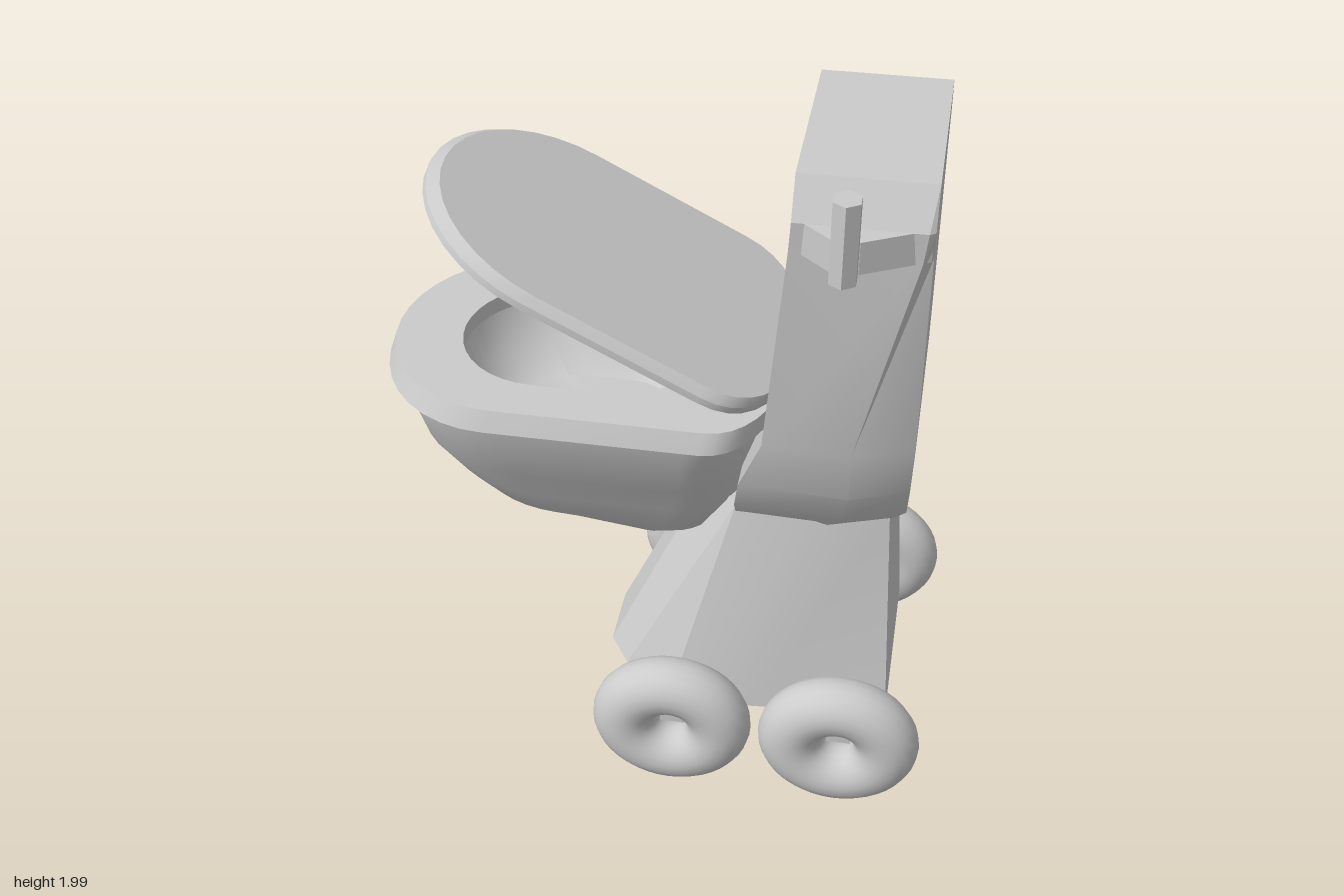
import * as THREE from 'three';
import { toCreasedNormals } from 'three/addons/utils/BufferGeometryUtils.js';

const grey = new THREE.MeshStandardMaterial({ color: 0xcccccc });

function add(group, name, geometry, x = 0, y = 0, z = 0) {
  const mesh = new THREE.Mesh(geometry, grey);
  mesh.name = name;
  mesh.position.set(x, y, z);
  group.add(mesh);
  return mesh;
}

// Skin a stack of closed rings (each a list of [x, y, z]) and cap both ends
function loft(rings, crease) {
  const n = rings[0].length;
  const pos = rings.flat(2);
  const index = [];
  for (let j = 0; j < rings.length - 1; j++) {
    for (let i = 0; i < n; i++) {
      const a = j * n + i, b = j * n + (i + 1) % n;
      index.push(a, a + n, b, b, a + n, b + n);
    }
  }
  [0, rings.length - 1].forEach((j, end) => {
    const centre = pos.length / 3;
    for (let k = 0; k < 3; k++) pos.push(rings[j].reduce((s, p) => s + p[k], 0) / n);
    for (let i = 0; i < n; i++) {
      const a = j * n + i, b = j * n + (i + 1) % n;
      if (end) index.push(centre, b, a);
      else index.push(centre, a, b);
    }
  });
  const g = new THREE.BufferGeometry();
  g.setAttribute('position', new THREE.Float32BufferAttribute(pos, 3));
  g.setIndex(index);
  return toCreasedNormals(g, crease);
}

// Long oval: round end at x0, squarer end at x1, half width h; slope tilts it
function oval(y, x0, x1, h, rf = 0.36, rr = 0.2, slope = 0) {
  const ring = [], n = 18;
  for (let e = 0; e < 2; e++) {
    for (let i = 0; i <= n; i++) {
      const t = -Math.PI / 2 + Math.PI * (e + i / n);
      const c = Math.cos(t);
      const x = e ? x0 + rf + rf * c : x1 - rr + rr * Math.pow(Math.max(c, 0), 0.9);
      ring.push([x, y + slope * (x - x0), h * Math.sin(t)]);
    }
  }
  return ring;
}

// Ring mirrored in z from a few [x, half width] points, listed from rear to front
function mirrored(y, half) {
  return [
    ...half.map(([x, z]) => [x, y, z]),
    ...half.slice().reverse().map(([x, z]) => [x, y, -z]),
  ];
}

export function createModel() {
  const model = new THREE.Group();
  model.name = 'wheeledToilet';

  // Flared pedestal
  add(model, 'pedestal', loft([
    mirrored(0.2, [[0.69, 0.28], [0.3, 0.32], [0.05, 0.3], [-0.1, 0.2], [-0.165, 0.1]]),
    mirrored(0.86, [[0.65, 0.17], [0.45, 0.22], [0.22, 0.2], [0.17, 0.13], [0.13, 0.07]]),
  ], 0.35));

  // Bowl hull, deepest towards the pedestal
  add(model, 'bowl', loft([
    oval(0.72, -0.46, 0.05, 0.13, 0.2, 0.1, -0.12),
    oval(0.765, -0.56, 0.16, 0.19, 0.25, 0.15, -0.06),
    oval(0.84, -0.64, 0.24, 0.235, 0.3),
    oval(0.95, -0.72, 0.27, 0.29, 0.34),
    oval(1.1, -0.755, 0.29, 0.365),
    oval(1.19, -0.775, 0.3, 0.385),
    // hidden ledge and cavity lining
    oval(1.19, -0.59, 0.09, 0.255, 0.25),
    oval(1.08, -0.55, 0.06, 0.225, 0.23),
    oval(1.0, -0.45, 0.0, 0.15, 0.18, 0.15),
  ], 0.75));

  // Seat rim: outer lip, flat top, opening
  const rim = [
    oval(1.18, -0.59, 0.09, 0.255, 0.25),
    oval(1.18, -0.8, 0.34, 0.41),
    oval(1.24, -0.78, 0.35, 0.39),
    oval(1.24, -0.59, 0.09, 0.255, 0.25),
    oval(1.18, -0.59, 0.09, 0.255, 0.25),
  ];
  const rimGeometry = loft(rim, 0.5);
  // leave the opening uncapped
  const capVertices = rim[0].length * 2 * 3;
  const kept = rimGeometry.attributes.position.count - capVertices;
  rimGeometry.setDrawRange(0, kept);
  for (const key of ['position', 'normal']) {
    const array = rimGeometry.attributes[key].array.slice(0, kept * 3);
    rimGeometry.setAttribute(key, new THREE.BufferAttribute(array, 3));
  }
  add(model, 'seatRim', rimGeometry);

  // Half-open lid
  const lid = add(model, 'lid', loft([
    oval(0, -1.11, 0.02, 0.4, 0.38, 0.24),
    oval(0.02, -1.11, 0.02, 0.4, 0.38, 0.24),
    oval(0.045, -1.08, 0.02, 0.38, 0.37, 0.24),
  ], 0.4), 0.33, 1.245, 0);
  lid.rotation.z = -0.472;

  // Cistern, tapering into the pedestal
  add(model, 'tank', loft([
    mirrored(0.835, [[0.65, 0.16], [0.48, 0.215], [0.22, 0.2]]),
    mirrored(0.89, [[0.695, 0.19], [0.52, 0.25], [0.22, 0.24]]),
    mirrored(1.0, [[0.7, 0.24], [0.54, 0.3], [0.235, 0.29]]),
    mirrored(1.17, [[0.705, 0.28], [0.54, 0.33], [0.3, 0.325]]),
    mirrored(1.78, [[0.705, 0.3], [0.68, 0.34], [0.35, 0.34]]),
    mirrored(1.87, [[0.705, 0.335], [0.69, 0.345], [0.355, 0.345]]),
    mirrored(1.975, [[0.705, 0.285], [0.69, 0.285], [0.355, 0.285]]),
  ], 0.4));

  // Flush handle: wedge-shaped bracket and upright grip
  const wedge = new THREE.Shape([
    [0.36, -0.32], [0.7, -0.32], [0.53, -0.41], [0.46, -0.41],
  ].map(([x, y]) => new THREE.Vector2(x, y)));
  const bracket = new THREE.ExtrudeGeometry(wedge, { depth: 0.09, bevelEnabled: false });
  bracket.rotateX(-Math.PI / 2);
  add(model, 'handleBracket', bracket, 0, 1.78, 0);
  const grip = new THREE.CylinderGeometry(0.043, 0.043, 0.225, 6).toNonIndexed();
  grip.computeVertexNormals();
  grip.scale(0.9, 1, 1);
  add(model, 'handleGrip', grip, 0.495, 1.8875, 0.435);

  // Four fat tyres on square axles
  for (const x of [0.077, 0.565]) {
    add(model, 'axle', new THREE.BoxGeometry(0.07, 0.055, 0.84), x, 0.225, 0);
    for (const side of [1, -1]) {
      const wheel = add(model, 'wheel', new THREE.TorusGeometry(0.139, 0.094, 20, 40), x, 0.22, side * 0.425);
      wheel.scale.set(1, 0.91, 0.9);
    }
  }
  return model;
}
